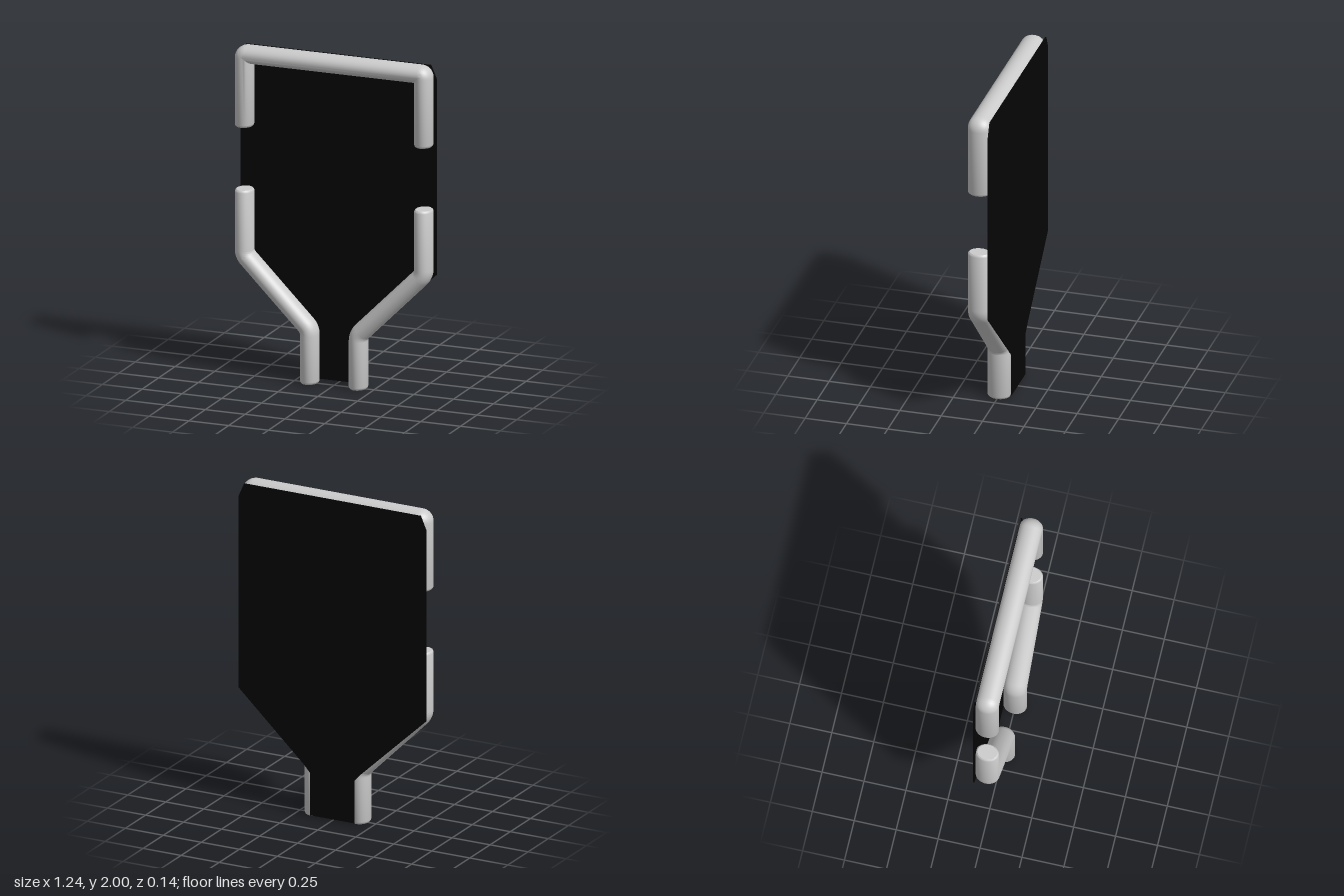
import * as THREE from 'three';
import { toCreasedNormals } from 'three/addons/utils/BufferGeometryUtils.js';

const RX = 0.055, RZ = 0.069, SIDES = 32;

// Rounds the inner corners of a polyline in the XY plane; returns points with their directions
function roundedPath(corners, radius, steps = 8) {
  const p = corners.map(([x, y]) => new THREE.Vector2(x, y));
  const dir = i => p[i + 1].clone().sub(p[i]).normalize();
  const path = [{ pos: p[0], t: dir(0) }];
  for (let i = 1; i < p.length - 1; i++) {
    const a = dir(i - 1), b = dir(i);
    const turn = Math.atan2(a.cross(b), a.dot(b));
    const cut = radius * Math.tan(Math.abs(turn) / 2);
    const start = p[i].clone().addScaledVector(a, -cut);
    const centre = start.clone().add(new THREE.Vector2(-a.y, a.x).multiplyScalar(radius * Math.sign(turn)));
    for (let k = 0; k <= steps; k++) {
      const ang = turn * k / steps;
      path.push({
        pos: start.clone().rotateAround(centre, ang),
        t: a.clone().rotateAround(new THREE.Vector2(), ang),
      });
    }
  }
  path.push({ pos: p[p.length - 1], t: dir(p.length - 2) });
  return path;
}

// Sweeps an oval section along the path, with softly bevelled closed ends
function barGeometry(corners, radius) {
  const path = roundedPath(corners, radius);
  const bevel = [[0, 0], [0, 0.84], [0.005, 0.94], [0.015, 1]];
  const first = path[0], last = path[path.length - 1];
  const ends = (end, sign) => bevel.map(([d, s]) => ({
    pos: end.pos.clone().addScaledVector(end.t, d * sign), t: end.t, s,
  }));
  const rings = [
    ...ends(first, 1),
    ...path.slice(1, -1).map(r => ({ ...r, s: 1 })),
    ...ends(last, -1).reverse(),
  ];
  const pos = [], index = [];
  rings.forEach(({ pos: c, t, s }, i) => {
    for (let j = 0; j < SIDES; j++) {
      const a = j / SIDES * Math.PI * 2;
      const off = Math.cos(a) * RX * s;
      pos.push(c.x + t.y * off, c.y - t.x * off, Math.sin(a) * RZ * s);
      if (i === 0) continue;
      const k = (j + 1) % SIDES, lo = (i - 1) * SIDES, hi = i * SIDES;
      index.push(lo + j, hi + k, lo + k, lo + j, hi + j, hi + k);
    }
  });
  // Keep the faces pointing outward
  for (let i = 0; i < index.length; i += 3) [index[i + 1], index[i + 2]] = [index[i + 2], index[i + 1]];
  const g = new THREE.BufferGeometry();
  g.setAttribute('position', new THREE.Float32BufferAttribute(pos, 3));
  g.setIndex(index);
  return toCreasedNormals(g, 0.6);
}

export function createModel() {
  const group = new THREE.Group();
  const grey = new THREE.MeshStandardMaterial({ color: 0xcccccc, side: THREE.DoubleSide });
  const black = new THREE.MeshStandardMaterial({ color: 0x050505 });

  const add = (name, geometry, material) => {
    const mesh = new THREE.Mesh(geometry, material);
    mesh.name = name;
    group.add(mesh);
  };

  // Upper frame: an upside-down U
  add('upperFrame', barGeometry([[-0.563, 1.51], [-0.563, 1.945], [0.563, 1.945], [0.563, 1.51]], 0.02), grey);

  // Lower funnel rails, one per side
  for (const [name, s] of [['leftRail', 1], ['rightRail', -1]]) {
    add(name, barGeometry([[s * 0.563, 1.13], [s * 0.563, 0.733], [s * 0.153, 0.323], [s * 0.153, 0]], 0.08), grey);
  }

  // Thin back panel following the frame outline
  const half = [[0.145, 0.008], [0.145, 0.27], [0.185, 0.315], [0.617, 0.72], [0.617, 1.9], [0.58, 1.985]];
  const outline = [...half, ...half.map(([x, y]) => [-x, y]).reverse()];
  const shape = new THREE.Shape(outline.map(([x, y]) => new THREE.Vector2(x, y)));
  const panel = new THREE.ExtrudeGeometry(shape, { depth: 0.008, bevelEnabled: false });
  panel.translate(0, 0, -0.073);
  add('backPanel', panel, black);

  return group;
}
